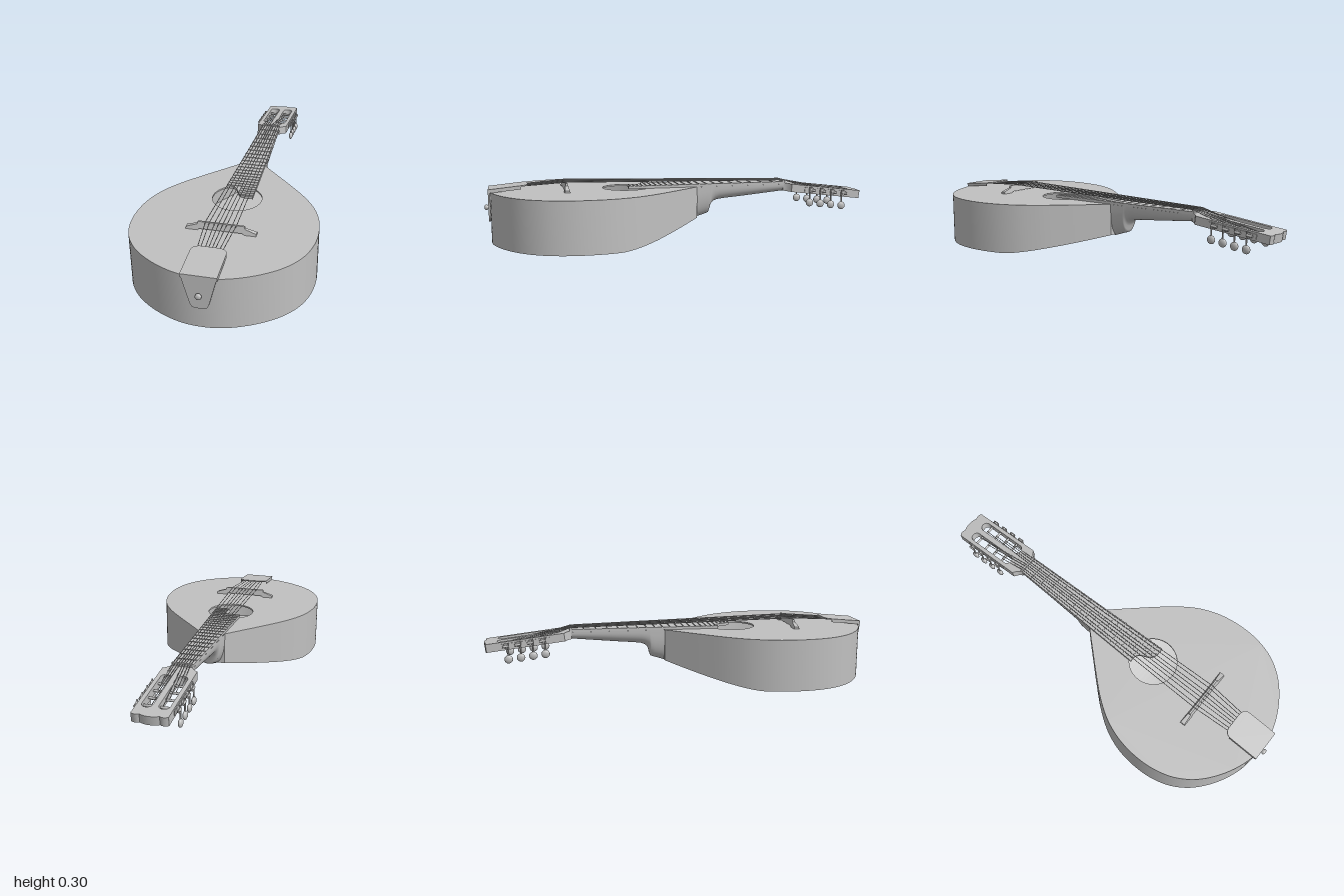
import * as THREE from 'three';

const grey = new THREE.MeshStandardMaterial({ color: 0xc0c0c0, side: THREE.DoubleSide });
grey.name = 'plain grey';
const V = (x, y, z) => new THREE.Vector3(x, y, z);

function add(parent, name, geo) {
  const m = new THREE.Mesh(geo, grey);
  m.name = name;
  parent.add(m);
  return m;
}

// Smooth surface through rows of points
function surface(rows) {
  const n = rows[0].length, idx = [];
  for (let i = 0; i < rows.length - 1; i++) for (let j = 0; j < n - 1; j++) {
    const a = i * n + j, d = a + 1, b = a + n, c = b + 1;
    idx.push(a, d, b, d, c, b);
  }
  const g = new THREE.BufferGeometry().setFromPoints(rows.flat());
  g.setIndex(idx);
  g.computeVertexNormals();
  return g;
}

// Shape drawn as (x, -z), laid flat with its underside at y
function flat(shape, depth, y, curveSegments = 16) {
  return new THREE.ExtrudeGeometry(shape, { depth, bevelEnabled: false, curveSegments })
    .rotateX(-Math.PI / 2).translate(0, y, 0);
}

function box(w, h, d, x, y, z) {
  return new THREE.BoxGeometry(w, h, d).translate(x, y, z);
}

// Round rod between two points
function rod(parent, name, a, b, r, sides = 12) {
  const m = add(parent, name, new THREE.CylinderGeometry(r, r, a.distanceTo(b), sides));
  m.position.copy(a).lerp(b, 0.5);
  m.quaternion.setFromUnitVectors(V(0, 1, 0), b.clone().sub(a).normalize());
  return m;
}

const TOP = 0.257, BOARD = 0.271, NUT_Z = -0.56, BRIDGE_Z = 0.597;
const neckHalf = z => 0.05 + 0.025 * (z - NUT_Z) / 0.76;
const floorY = z => (z > 0.36 ? 0 : 0.107 * Math.pow((0.36 - z) / 0.48, 1.35));

function addBody(g) {
  const half = [[0.066, -0.08], [0.14, 0], [0.232, 0.1], [0.318, 0.2], [0.383, 0.3], [0.423, 0.41],
    [0.437, 0.53], [0.427, 0.64], [0.392, 0.74], [0.325, 0.83], [0.225, 0.905], [0.11, 0.955]];
  const pts = [...half, [0, 0.97], ...half.slice().reverse().map(([x, z]) => [-x, z])]
    .map(([x, z]) => new THREE.Vector2(x, z));
  const out = new THREE.SplineCurve(pts).getPoints(120);
  const lower = p => V(p.x, floorY(p.y), p.y);
  const upper = p => V(p.x, TOP, p.y);
  add(g, 'bodySides', surface([out.map(upper), out.map(lower)]));
  const right = out.slice(0, 61), left = out.slice(60).reverse();
  add(g, 'bodyBack', surface([right.map(lower), left.map(lower)]));
  const e = [left[0], right[0]];
  add(g, 'bodyEnd', surface([e.map(upper), e.map(lower)]));
  // Soundboard with its round opening
  const s = new THREE.Shape(out.map(p => new THREE.Vector2(p.x, -p.y)));
  s.holes.push(new THREE.Path().absarc(0, -0.285, 0.122, 0, Math.PI * 2, true));
  add(g, 'soundboard', flat(s, 0.008, TOP - 0.008, 32));
}

function addNeck(g) {
  // z, half width, underside height
  const sections = [[-0.07, 0.068, 0.085], [-0.1, 0.066, 0.096], [-0.13, 0.065, 0.105], [-0.148, 0.064, 0.112],
    [-0.153, 0.064, 0.125], [-0.157, 0.064, 0.145], [-0.166, 0.063, 0.163], [-0.18, 0.063, 0.175],
    [-0.2, 0.062, 0.182], [-0.24, 0.061, 0.187], [-0.32, 0.058, 0.194], [-0.45, 0.054, 0.207], [-0.58, 0.05, 0.22]];
  const rows = sections.map(([z, w, y]) => Array.from({ length: 25 }, (_, i) => {
    const t = Math.PI * i / 24, c = Math.cos(t);
    return V(w * Math.sign(c) * Math.pow(Math.abs(c), 0.8), TOP - (TOP - y) * Math.pow(Math.abs(Math.sin(t)), 0.8), z);
  }));
  add(g, 'neck', surface(rows));

  // Fingerboard with a curved, stepped end
  const s = new THREE.Shape();
  s.moveTo(-0.05, -NUT_Z);
  s.lineTo(-0.074, -0.2);
  s.bezierCurveTo(-0.03, -0.19, -0.02, -0.215, -0.008, -0.24);
  s.bezierCurveTo(0.005, -0.275, 0.02, -0.285, 0.077, -0.282);
  s.lineTo(0.05, -NUT_Z);
  add(g, 'fingerboard', flat(s, BOARD - TOP, TOP));
  for (let n = 1; n <= 22; n++) {
    const z = NUT_Z + (BRIDGE_Z - NUT_Z) * (1 - Math.pow(2, -n / 12));
    const x1 = neckHalf(z), x0 = z > 0.2 ? 0.005 : -x1;
    add(g, 'fret', box(x1 - x0, 0.004, 0.005, (x0 + x1) / 2, BOARD + 0.001, z));
  }
  add(g, 'nut', box(0.1, 0.024, 0.012, 0, 0.266, NUT_Z));
}

function addHead(g) {
  const head = new THREE.Group();
  head.name = 'head';
  head.position.set(0, 0.264, -0.56);
  head.rotation.x = -0.115;
  g.add(head);
  const s = new THREE.Shape();
  s.moveTo(-0.05, 0);
  s.quadraticCurveTo(-0.058, 0.022, -0.084, 0.036);
  s.lineTo(-0.084, 0.425);
  s.quadraticCurveTo(-0.062, 0.438, -0.045, 0.427);
  s.quadraticCurveTo(0, 0.448, 0.045, 0.427);
  s.quadraticCurveTo(0.062, 0.438, 0.084, 0.425);
  s.lineTo(0.084, 0.036);
  s.quadraticCurveTo(0.058, 0.022, 0.05, 0);
  for (const x of [-0.039, 0.039]) {
    const slot = new THREE.Path();
    slot.absarc(x, 0.345, 0.025, 0, Math.PI, false);
    slot.absarc(x, 0.115, 0.025, Math.PI, Math.PI * 2, false);
    slot.closePath();
    s.holes.push(slot);
  }
  add(head, 'headstock', flat(s, 0.042, -0.042));
  // Tuning machines on both sides
  for (const side of [-1, 1]) {
    add(head, 'tunerPlate', box(0.004, 0.024, 0.25, side * 0.086, -0.021, -0.235));
    for (let i = 0; i < 4; i++) {
      const z = -(0.145 + 0.061 * i);
      rod(head, 'roller', V(side * 0.012, -0.02, z), V(side * 0.1, -0.02, z), 0.006);
      rod(head, 'gear', V(side * 0.09, -0.02, z), V(side * 0.098, -0.02, z), 0.014);
      rod(head, 'worm', V(side * 0.099, -0.021, z - 0.018), V(side * 0.099, -0.021, z + 0.012), 0.006);
      rod(head, 'tunerShaft', V(side * 0.097, -0.005, z + 0.012), V(side * 0.097, -0.075, z + 0.006), 0.004);
      const b = add(head, 'tunerButton', new THREE.SphereGeometry(0.021, 16, 12));
      b.scale.set(0.5, 1, 1);
      b.position.set(side * 0.097, -0.088, z + 0.004);
    }
  }
}

function addBridge(g) {
  // Arched foot with a raised centre
  const s = new THREE.Shape();
  const edge = [[-0.165, 0], [-0.165, 0.011], [-0.112, 0.028], [-0.11, 0.04], [0.11, 0.04], [0.112, 0.028],
    [0.165, 0.011], [0.165, 0], [0.11, 0], [0.1, 0.007], [-0.1, 0.007], [-0.11, 0]];
  s.setFromPoints(edge.map(([x, y]) => new THREE.Vector2(x, y)));
  const geo = new THREE.ExtrudeGeometry(s, { depth: 0.028, bevelEnabled: false }).translate(0, 0, -0.014);
  const p = geo.attributes.position;
  for (let i = 0; i < p.count; i++) p.setZ(i, p.getZ(i) * (1 - 17 * p.getY(i)));
  geo.computeVertexNormals();
  add(g, 'bridge', geo.translate(0, TOP, BRIDGE_Z));
}

function addTailpiece(g) {
  const tail = new THREE.Group();
  tail.name = 'tailpiece';
  g.add(tail);
  // Sloping cover with side lips
  const lid = new THREE.Group();
  lid.name = 'tailpieceCover';
  lid.position.set(0, 0.273, 0.98);
  lid.rotation.x = 0.1;
  tail.add(lid);
  const s = new THREE.Shape();
  s.moveTo(-0.081, 0);
  s.lineTo(-0.081, 0.16);
  s.quadraticCurveTo(-0.078, 0.19, -0.045, 0.194);
  s.lineTo(0.045, 0.194);
  s.quadraticCurveTo(0.078, 0.19, 0.081, 0.16);
  s.lineTo(0.081, 0);
  add(lid, 'coverPlate', flat(s, 0.006, -0.006));
  for (const x of [-0.079, 0.079]) add(lid, 'coverLip', box(0.004, 0.018, 0.16, x, -0.009, -0.08));
  // Tapered plate down the end of the body
  const f = new THREE.Shape();
  f.moveTo(-0.081, 0.273);
  f.lineTo(-0.043, 0.13);
  f.quadraticCurveTo(-0.036, 0.106, -0.016, 0.106);
  f.lineTo(0.016, 0.106);
  f.quadraticCurveTo(0.036, 0.106, 0.043, 0.13);
  f.lineTo(0.081, 0.273);
  add(tail, 'endPlate', new THREE.ExtrudeGeometry(f, { depth: 0.01, bevelEnabled: false }).translate(0, 0, 0.97));
  const knob = [[0, -0.02], [0.008, -0.02], [0.008, 0.004], [0.014, 0.006], [0.014, 0.015], [0.009, 0.02], [0, 0.02]];
  add(tail, 'endPin', new THREE.LatheGeometry(knob.map(([r, y]) => new THREE.Vector2(r, y)), 20)
    .rotateX(Math.PI / 2).translate(0, 0.175, 0.98));
}

function addStrings(g) {
  // Four pairs, from tailpiece over bridge and nut to the rollers
  [0.01, 0.029, 0.054, 0.073].forEach((x, i) => {
    for (const side of [-1, 1]) {
      const d = 0.145 + 0.061 * (3 - i);
      const path = [V(side * x * 0.75, 0.283, 0.82), V(side * x, 0.299, BRIDGE_Z),
        V(side * x * 0.58, 0.279, NUT_Z), V(side * (0.026 + 0.008 * i), 0.252 - d * 0.115, -0.56 - d)];
      for (let k = 0; k < 3; k++) rod(g, 'string', path[k], path[k + 1], 0.0017, 6);
    }
  });
}

export function createModel() {
  const g = new THREE.Group();
  g.name = 'mandolin';
  addBody(g);
  addNeck(g);
  addHead(g);
  addBridge(g);
  addTailpiece(g);
  addStrings(g);
  return g;
}
